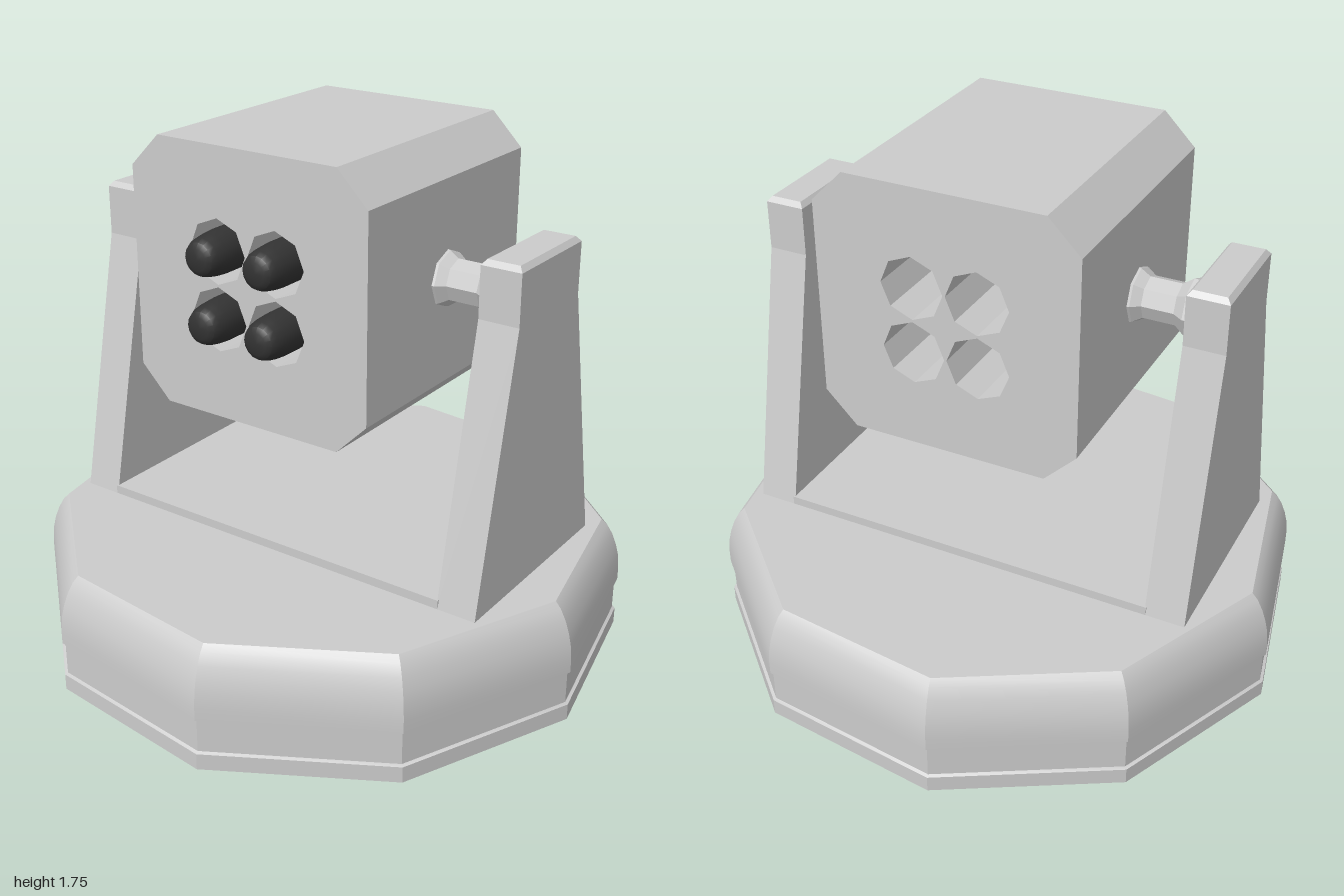
import * as THREE from 'three';
import { toCreasedNormals } from 'three/addons/utils/BufferGeometryUtils.js';

const grey = new THREE.MeshStandardMaterial({ color: 0xcccccc });
const flatGrey = new THREE.MeshStandardMaterial({ color: 0xcccccc, flatShading: true });
const dark = new THREE.MeshStandardMaterial({ color: 0x333333 });

const points = (list) => list.map(([x, y]) => new THREE.Vector2(x, y));

function add(parent, name, geometry, material = grey) {
  const mesh = new THREE.Mesh(geometry, material);
  mesh.name = name;
  parent.add(mesh);
  return mesh;
}

export function createModel() {
  const model = new THREE.Group();
  model.name = 'turret';

  // Ten-sided base with a shallow groove and a rounded shoulder
  const baseProfile = points([
    [0, 0], [1, 0], [1, 0.055], [0.99, 0.06], [0.99, 0.17], [1, 0.175],
    [1, 0.22], [0.995, 0.27], [0.985, 0.31], [0.97, 0.35], [0.95, 0.385],
    [0.93, 0.405], [0, 0.405],
  ]);
  const base = new THREE.LatheGeometry(baseProfile, 10, THREE.MathUtils.degToRad(29.6));
  add(model, 'base', toCreasedNormals(base, Math.PI / 7));

  // U-shaped bracket: floor plate and two tapered arms
  const bracket = new THREE.Group();
  bracket.name = 'bracket';
  model.add(bracket);
  add(bracket, 'bracketFloor', new THREE.BoxGeometry(0.74, 0.03, 1.32)).position.y = 0.43;

  const armShape = new THREE.Shape(points([
    [-0.37, 0.415], [0.37, 0.415], [0.185, 1.3], [0.185, 1.465], [-0.185, 1.465], [-0.185, 1.3],
  ]));
  const armGeometry = new THREE.ExtrudeGeometry(armShape, { depth: 0.135, bevelEnabled: false });
  armGeometry.translate(0, 0, 0.655);

  // Bevelled cap: a box whose top corners are pulled in
  const capGeometry = new THREE.BoxGeometry(0.37, 0.017, 0.135);
  const pos = capGeometry.attributes.position;
  for (let i = 0; i < pos.count; i++) {
    if (pos.getY(i) < 0) continue;
    pos.setX(i, pos.getX(i) - Math.sign(pos.getX(i)) * 0.014);
    pos.setZ(i, pos.getZ(i) - Math.sign(pos.getZ(i)) * 0.014);
  }
  capGeometry.translate(0, 1.4735, 0.7225);

  // Faceted pivot with a knob at the arm and a flare at the launcher
  const pivotGeometry = new THREE.LatheGeometry(points([
    [0.095, 0.43], [0.09, 0.445], [0.07, 0.475], [0.07, 0.58],
    [0.095, 0.615], [0.095, 0.64], [0.075, 0.66],
  ]), 8);
  pivotGeometry.rotateX(Math.PI / 2);

  for (const [name, turn] of [['front', 0], ['back', Math.PI]]) {
    const side = new THREE.Group();
    side.name = name + 'Support';
    side.rotation.y = turn;
    bracket.add(side);
    add(side, name + 'Arm', armGeometry);
    add(side, name + 'ArmCap', capGeometry, flatGrey);
    add(side, name + 'Pivot', pivotGeometry, flatGrey).position.y = 1.33;
  }

  // Launcher box: chamfered octagon with four octagonal tubes along x
  const launcher = new THREE.Group();
  launcher.name = 'launcher';
  launcher.position.y = 1.3175;
  model.add(launcher);
  const a = 0.4375, b = 0.33;
  const boxShape = new THREE.Shape(points([
    [a, -b], [a, b], [b, a], [-b, a], [-a, b], [-a, -b], [-b, -a], [b, -a],
  ]));
  const tubeCentres = [[-1, -1], [-1, 1], [1, -1], [1, 1]].map(([u, v]) => [u * 0.109, v * 0.109]);
  for (const [u, v] of tubeCentres) {
    const hole = [];
    for (let i = 0; i < 8; i++) {
      const t = -i * Math.PI / 4;
      hole.push([u + 0.105 * Math.cos(t), v + 0.105 * Math.sin(t)]);
    }
    boxShape.holes.push(new THREE.Path(points(hole)));
  }
  const boxGeometry = new THREE.ExtrudeGeometry(boxShape, { depth: 0.875, bevelEnabled: false });
  boxGeometry.translate(0, 0, -0.4375).rotateY(Math.PI / 2);
  add(launcher, 'launcherBox', boxGeometry);

  // Tube plugs and dark blunt-nosed rockets, pointing to -x
  const plugGeometry = new THREE.CylinderGeometry(0.105, 0.105, 0.06, 8).rotateZ(Math.PI / 2);
  const rocketLathe = new THREE.LatheGeometry(points([
    [0, 0], [0.07, 0], [0.07, 0.43], [0.067, 0.47], [0.061, 0.505], [0.052, 0.525], [0.035, 0.535], [0, 0.535],
  ]), 16);
  const rocketGeometry = toCreasedNormals(rocketLathe, Math.PI / 5).rotateZ(Math.PI / 2);
  for (const [z, y] of tubeCentres) {
    add(launcher, 'tubePlug', plugGeometry).position.set(0, y, z);
    add(launcher, 'rocket', rocketGeometry, dark).position.set(0, y, z);
  }

  return model;
}
